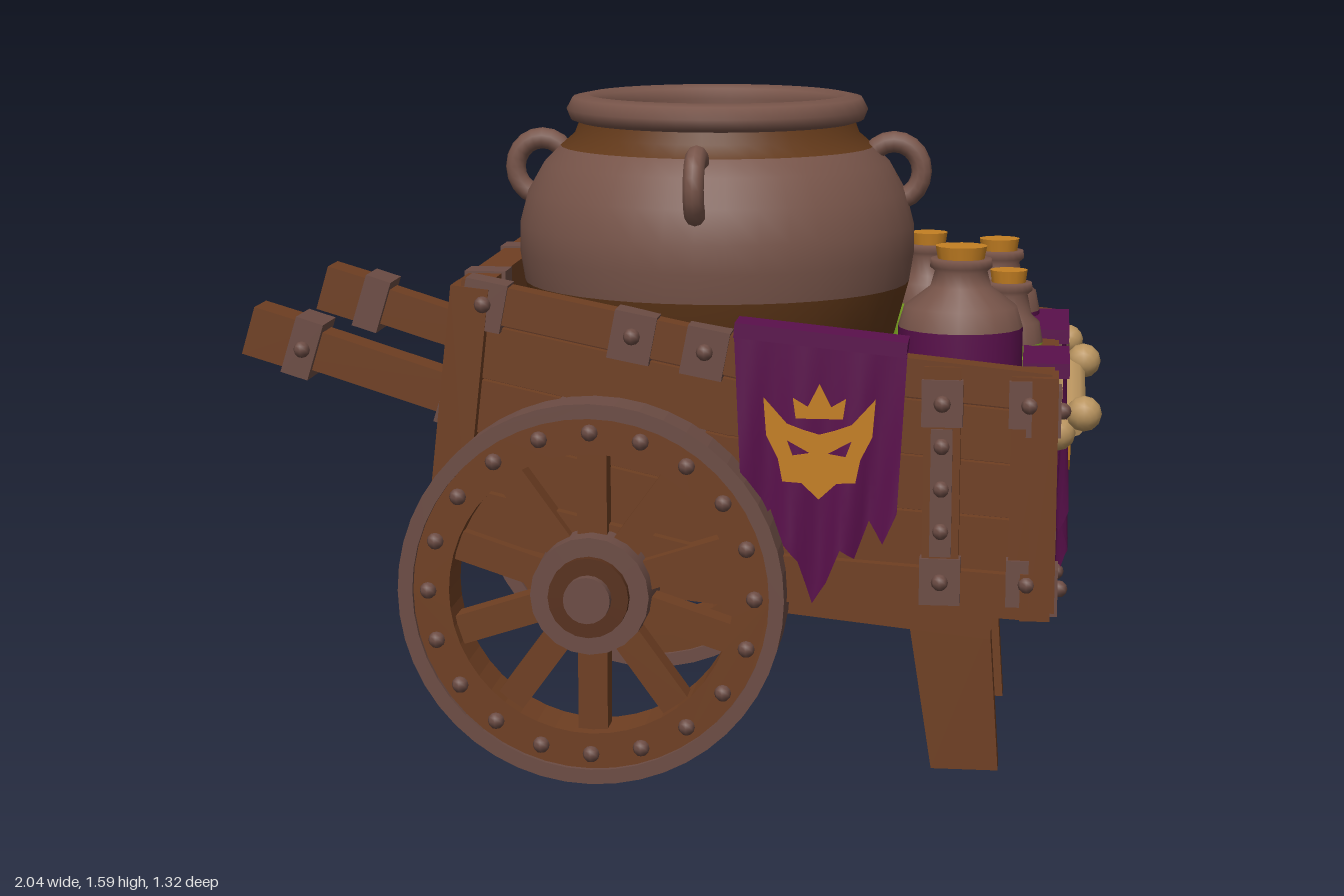
import * as THREE from 'three';

const mat = (name, color, side = THREE.FrontSide, flatShading = false) => {
  const m = new THREE.MeshStandardMaterial({ color, side, flatShading });
  m.name = name;
  return m;
};

export function createModel() {
  const root = new THREE.Group();
  root.name = 'potionCart';
  const wood = mat('wood', 0x6f3f22);
  const darkWood = mat('dark wood', 0x57301c);
  const metal = mat('old iron', 0x6c4c44);
  const clay = mat('clay', 0x775449);
  const rust = mat('stained clay', 0x613819);
  const cloth = mat('purple cloth', 0x5a104c, THREE.DoubleSide);
  const gold = mat('gold and cork', 0xc47f22);
  const bone = mat('bone', 0xb9945f);
  const green = mat('green brew', 0x87b324);

  const add = (parent, name, geo, m, x = 0, y = 0, z = 0, rx = 0, ry = 0, rz = 0) => {
    const mesh = new THREE.Mesh(geo, m);
    mesh.name = name;
    mesh.position.set(x, y, z);
    mesh.rotation.set(rx, ry, rz);
    parent.add(mesh);
    return mesh;
  };
  const box = (name, m, w, h, d, x, y, z, rz = 0) =>
    add(root, name, new THREE.BoxGeometry(w, h, d), m, x, y, z, 0, 0, rz);
  // Square beam between two points of an xy plane
  const beam = (name, m, a, b, h, d, z) =>
    box(name, m, Math.hypot(b[0] - a[0], b[1] - a[1]), h, d,
      (a[0] + b[0]) / 2, (a[1] + b[1]) / 2, z, Math.atan2(b[1] - a[1], b[0] - a[0]));
  const poly = (pts) => new THREE.Shape(pts.map(([x, y]) => new THREE.Vector2(x, y)));
  const extrude = (shape, depth, curveSegments = 24) =>
    new THREE.ExtrudeGeometry(shape, { depth, bevelEnabled: false, curveSegments });
  const lathe = (pts, n = 32) => new THREE.LatheGeometry(pts.map(([r, y]) => new THREE.Vector2(r, y)), n);
  const boltGeo = new THREE.SphereGeometry(0.02, 8, 6);
  const bolt = (x, y, z, parent = root) => add(parent, 'bolt', boltGeo, metal, x, y, z);

  // Side walls: boards and rails between a bottom line and a kinked top line
  const low = [[-0.52, 0.6], [0.1, 0.45], [0.9, 0.41]];
  const high = [[-0.46, 1.19], [0.2, 1.06], [0.91, 0.99]];
  const at = (i, t) => [0, 1].map((k) => low[i][k] + t * (high[i][k] - low[i][k]));
  const band = (name, m, t0, t1, depth, z) => add(root, name,
    extrude(poly([at(0, t0), at(1, t0), at(2, t0), at(2, t1), at(1, t1), at(0, t1)]), depth), m, 0, 0, z - depth / 2);
  const topY = (x) => (x < 0.2 ? 1.06 - (x - 0.2) * 0.197 : 1.06 - (x - 0.2) * 0.099);
  for (const s of [1, -1]) {
    band('sideBacking', darkWood, 0.05, 0.95, 0.02, s * 0.465);
    for (let i = 0; i < 3; i++) band('sideBoard', wood, 0.18 + i * 0.22, 0.39 + i * 0.22, 0.04, s * 0.48);
    band('sideTopRail', wood, 0.85, 1, 0.07, s * 0.49);
    band('sideBottomRail', wood, 0, 0.18, 0.08, s * 0.49);
    beam('sidePost', wood, [-0.5, 0.62], [-0.44, 1.17], 0.09, 0.1, s * 0.485);
    for (const x of [0.66, 0.86]) {
      box('sidePost', wood, 0.085, topY(x) - 0.44, 0.07, x, (topY(x) + 0.42) / 2, s * 0.5);
      for (const y of [0.5, 0.92]) {
        box('postStrap', metal, 0.095, 0.11, 0.085, x, y, s * 0.5);
        bolt(x, y, s * 0.545);
      }
    }
    box('postIron', metal, 0.05, 0.3, 0.01, 0.66, 0.71, s * 0.538);
    for (const y of [0.62, 0.72, 0.82]) bolt(0.66, y, s * 0.54);
    for (const x of [-0.41, -0.06, 0.11]) {
      box('railPlate', metal, 0.1, 0.115, 0.085, x, topY(x) - 0.053, s * 0.49, -0.19);
      bolt(x, topY(x) - 0.05, s * 0.535);
    }
  }

  // End walls
  for (let i = 0; i < 9; i++) {
    const z = -0.44 + i * 0.11;
    box('endBoard', wood, 0.04, 0.5, 0.102, 0.865, 0.7, z);
    box('rearBoard', wood, 0.04, 0.52, 0.102, -0.465, 0.87, z, -0.1);
  }
  box('endTopRail', wood, 0.07, 0.08, 1.06, 0.88, 0.945, 0);
  box('endBottomRail', wood, 0.07, 0.11, 1.1, 0.88, 0.47, 0);
  box('rearTopRail', wood, 0.08, 0.1, 1.0, -0.45, 1.12, 0);
  box('rearBottomRail', wood, 0.08, 0.11, 1.04, -0.5, 0.65, 0);
  for (const z of [-0.49, 0.035, 0.49]) {
    box('endPost', wood, 0.06, 0.55, 0.12, 0.895, 0.71, z);
    for (const y of [0.48, 0.9]) {
      box('endBracket', metal, 0.08, 0.11, 0.1, 0.892, y, z);
      bolt(0.935, y, z);
    }
  }
  for (const z of [-0.25, 0.27]) {
    box('endPlate', metal, 0.08, 0.09, 0.08, 0.885, 0.47, z);
    bolt(0.927, 0.47, z);
  }
  for (const z of [-0.24, 0.24]) {
    box('rearPlate', metal, 0.1, 0.11, 0.09, -0.45, 1.12, z);
    bolt(-0.502, 1.12, z);
  }

  // Deck, underside and running frame
  for (let i = 0; i < 8; i++) box('deckPlank', wood, 0.164, 0.04, 0.92, -0.37 + i * 0.168, 0.75, 0);
  beam('underside', darkWood, [0.08, 0.5], [0.86, 0.46], 0.04, 0.92, 0);
  beam('underside', darkWood, [-0.48, 0.65], [0.1, 0.5], 0.04, 0.92, 0);
  box('crossBeam', wood, 0.1, 0.08, 0.8, 0.7, 0.385, 0);
  box('crossBeam', wood, 0.12, 0.12, 0.84, 0.2, 0.42, 0);
  box('axleBlock', wood, 0.17, 0.17, 0.88, -0.15, 0.48, 0);
  beam('centreBeam', wood, [-0.15, 0.46], [0.8, 0.4], 0.09, 0.12, 0);

  for (const s of [1, -1]) {
    // Frame beams, tapered legs and pull handles
    beam('frameBeam', wood, [-0.2, 0.47], [0.78, 0.37], 0.08, 0.12, s * 0.34);
    add(root, 'leg', extrude(poly([[0.64, 0], [0.8, 0], [0.775, 0.36], [0.58, 0.38]]), 0.085), wood, 0, 0, s * 0.33 - 0.0425);
    beam('handle', wood, [-0.97, 1.035], [-0.44, 0.87], 0.095, 0.09, s * 0.37);
    beam('handleGrip', wood, [-1.0, 1.042], [-0.84, 0.995], 0.118, 0.11, s * 0.37);
    beam('handleCollar', metal, [-0.9, 1.012], [-0.835, 0.992], 0.14, 0.13, s * 0.37);
    bolt(-0.867, 1.0, s * 0.437);
    beam('handleSocket', metal, [-0.53, 0.9], [-0.46, 0.878], 0.14, 0.13, s * 0.37);

    // Wheel, built facing outward along +z
    const wheel = new THREE.Group();
    wheel.name = 'wheel';
    wheel.position.set(-0.15, 0.46, s * 0.53);
    if (s < 0) wheel.rotation.y = Math.PI;
    root.add(wheel);
    const ring = (name, m, outer, inner, depth) => {
      const sh = new THREE.Shape().absarc(0, 0, outer, 0, Math.PI * 2);
      sh.holes.push(new THREE.Path().absarc(0, 0, inner, 0, Math.PI * 2, true));
      add(wheel, name, extrude(sh, depth), m, 0, 0, -depth / 2);
    };
    ring('rim', wood, 0.425, 0.335, 0.14);
    ring('tire', metal, 0.455, 0.42, 0.165);
    for (let i = 0; i < 10; i++) {
      const a = (i + 0.5) * Math.PI / 5;
      add(wheel, 'spoke', new THREE.BoxGeometry(0.25, 0.07, 0.07), wood, Math.cos(a) * 0.225, Math.sin(a) * 0.225, 0, 0, 0, a);
      for (const b of [a, a + Math.PI / 10]) bolt(Math.cos(b) * 0.385, Math.sin(b) * 0.385, 0.07, wheel);
    }
    [[0.14, 0.17], [0.095, 0.21], [0.055, 0.26]].forEach(([r, d], i) =>
      add(wheel, 'hub', new THREE.CylinderGeometry(r, r * 1.05, d, 20), i === 1 ? darkWood : metal, 0, 0, 0, Math.PI / 2));
  }

  // Cauldron
  const pot = new THREE.Group();
  pot.name = 'cauldron';
  pot.position.set(0.08, 0, 0);
  root.add(pot);
  add(pot, 'potBase', lathe([[0, 0.77], [0.25, 0.775], [0.37, 0.87], [0.44, 1.0], [0.475, 1.13]], 40), rust);
  add(pot, 'potBody', lathe([[0.475, 1.13], [0.486, 1.2], [0.486, 1.27], [0.465, 1.35], [0.425, 1.42], [0.385, 1.46]], 40), clay);
  add(pot, 'potNeck', lathe([[0.385, 1.46], [0.35, 1.49], [0.335, 1.53]], 40), rust);
  add(pot, 'potRim', lathe([[0.33, 1.515], [0.36, 1.525], [0.37, 1.55], [0.355, 1.578], [0.32, 1.585], [0.295, 1.575], [0.28, 1.55], [0.29, 1.42]], 40), clay);
  add(pot, 'brew', new THREE.CylinderGeometry(0.295, 0.295, 0.02, 40), green, 0, 1.44, 0);
  for (let i = 0; i < 4; i++) {
    const arm = new THREE.Group();
    arm.name = 'potHandle';
    arm.rotation.y = i * Math.PI / 2;
    pot.add(arm);
    add(arm, 'handleLoop', new THREE.TorusGeometry(0.068, 0.025, 10, 20), clay, 0.435, 1.4, 0).scale.y = 1.05;
    const stain = add(arm, 'handleStain', new THREE.SphereGeometry(0.06, 12, 8), rust, 0.435, 1.36, 0, 0, 0, 0.45);
    stain.scale.set(0.35, 1.2, 0.9);
  }

  // Bottles: x, z, radius, top of cork, liquid
  for (const [x, z, r, top, liquid] of [[0.69, 0.25, 0.148, 1.25, cloth], [0.8, 0.03, 0.085, 1.165, green],
    [0.59, -0.34, 0.09, 1.21, green], [0.77, -0.31, 0.105, 1.2, cloth]]) {
    const b = new THREE.Group();
    b.name = 'bottle';
    b.position.set(x, 0, z);
    root.add(b);
    const f = top - 0.125 - r * 0.25, n = r * 0.25 + 0.025;
    add(b, 'liquid', lathe([[0, 0.77], [r * 0.9, 0.77], [r, 0.8], [r, f - 0.03]], 20), liquid);
    add(b, 'glass', lathe([[r, f - 0.03], [r * 0.9, f + 0.02], [n + 0.01, f + r * 0.45], [n, top - 0.06],
      [n + 0.012, top - 0.05], [n + 0.01, top - 0.03], [0, top - 0.03]], 20), clay);
    add(b, 'cork', new THREE.CylinderGeometry(n, n * 0.85, 0.05, 14), gold, 0, top - 0.025, 0);
  }

  // Ragged banners folded over the rail, with a painted mask crest
  const mask = [[0, 0.12], [0.28, 0.2], [0.55, 0.3], [0.95, 0.75], [0.9, 0.1], [0.7, -0.3], [0.62, -0.7], [0.3, -0.72], [0, -1]];
  const maskShape = poly([...mask, ...mask.slice(1, -1).reverse().map(([x, y]) => [-x, y])]);
  for (const e of [1, -1])
    maskShape.holes.push(new THREE.Path([[0.15, -0.2], [0.55, 0.02], [0.45, -0.25]].map(([x, y]) => new THREE.Vector2(x * e, y))));
  const crown = poly([[-0.4, 0.4], [0.4, 0.4], [0.45, 0.75], [0.2, 0.6], [0, 1], [-0.2, 0.6], [-0.45, 0.75]]);
  const drop = [0.34, 0.5, 0.4, 0.62, 0.72, 1, 0.86, 0.64, 0.7, 0.46, 0.6, 0.4];
  const banner = (w, len, slope, x, y, z, ry, crest) => {
    const g = new THREE.Group();
    g.name = 'banner';
    g.position.set(x, y, z);
    g.rotation.y = ry;
    root.add(g);
    const geo = new THREE.PlaneGeometry(1, 1, 22, 12), p = geo.attributes.position;
    for (let i = 0; i < p.count; i++) {
      const u = p.getX(i) + 0.5, v = 0.5 - p.getY(i);
      const k = u * 11, j = Math.min(10, Math.floor(k));
      const l = len * (0.4 + 0.6 * (drop[j] + (drop[j + 1] - drop[j]) * (k - j)));
      p.setXYZ(i, (u - 0.5) * w * (1 - 0.1 * v), -v * l + slope * (u - 0.5) * w * (1 - v), 0.012 * Math.sin(u * 19 + v * 2) * (0.3 + v));
    }
    geo.computeVertexNormals();
    add(g, 'bannerCloth', geo, cloth);
    add(g, 'bannerFold', new THREE.BoxGeometry(w, 0.035, 0.11), cloth, 0, 0.005, -0.045, 0, 0, Math.atan(slope));
    if (crest) for (const s of [maskShape, crown])
      add(g, 'crest', extrude(s, 0.006), gold, 0, -0.23, 0.014).scale.set(w * 0.34, 0.135, 1);
  };
  banner(0.4, 0.62, -0.1, 0.38, 1.06, 0.55, 0, true);
  banner(0.4, 0.62, 0.1, 0.38, 1.06, -0.55, Math.PI, true);
  banner(0.36, 0.57, 0, 0.94, 0.985, -0.22, Math.PI / 2, true);
  banner(0.27, 0.55, 0, 0.94, 0.97, 0.25, Math.PI / 2, false);

  // Bones tied to the rails
  const makeBone = (a, b) => {
    const g = new THREE.Group(), A = new THREE.Vector3(...a), B = new THREE.Vector3(...b), L = A.distanceTo(B);
    g.name = 'bone';
    g.position.copy(A).lerp(B, 0.5);
    g.quaternion.setFromUnitVectors(new THREE.Vector3(0, 1, 0), B.clone().sub(A).normalize());
    root.add(g);
    add(g, 'boneShaft', new THREE.CylinderGeometry(0.036, 0.036, L, 10), bone);
    for (const e of [-1, 1]) for (const s of [-1, 1])
      add(g, 'boneKnob', new THREE.SphereGeometry(0.042, 12, 8), bone, s * 0.03, e * L / 2, s * 0.025);
  };
  makeBone([0.955, 0.85, 0.37], [0.955, 0.92, 0.03]);
  makeBone([0.62, 0.95, -0.555], [0.94, 0.87, -0.545]);
  return root;
}
